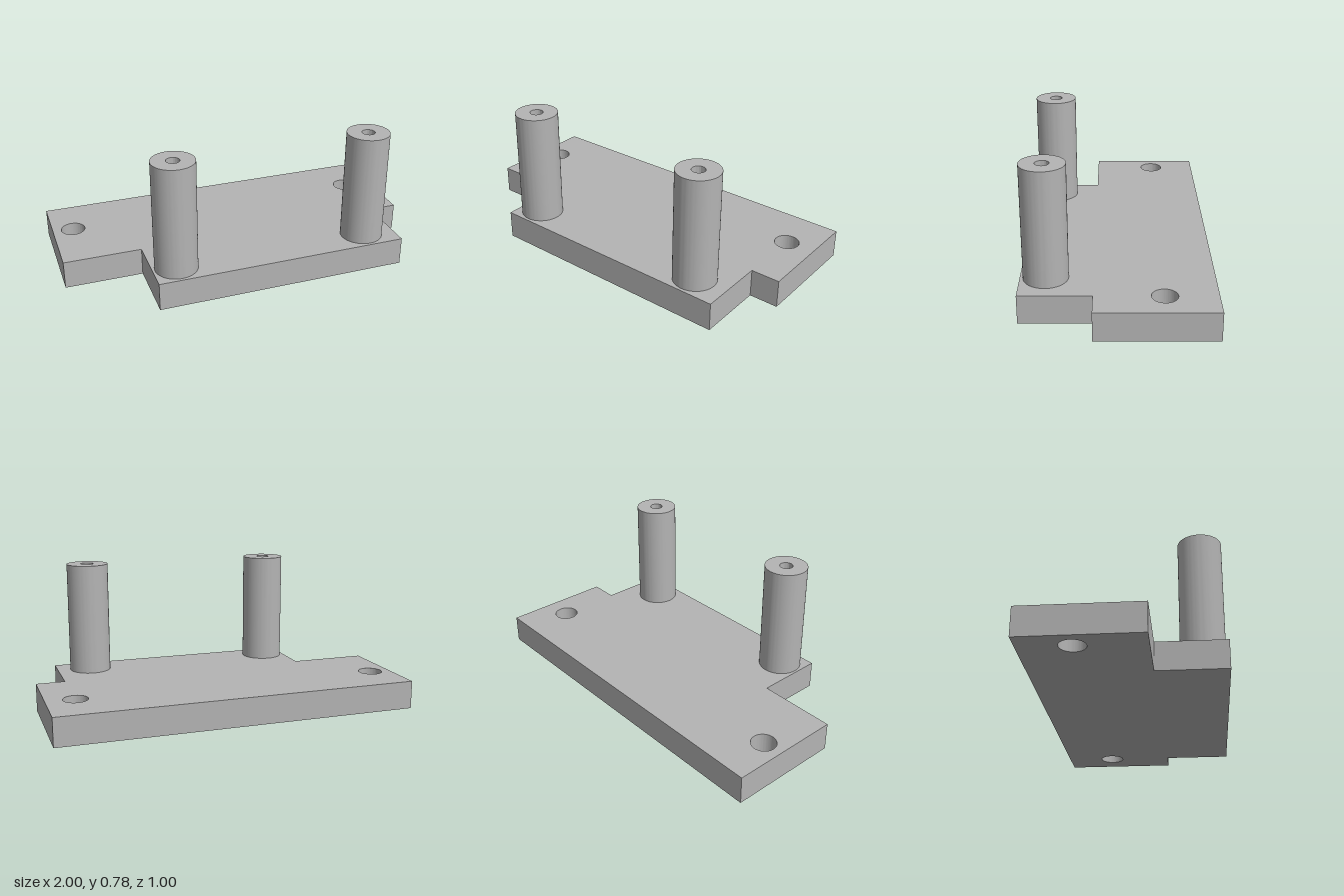
import * as THREE from 'three';
import { toCreasedNormals } from 'three/addons/utils/BufferGeometryUtils.js';

const PLATE_TOP = 0.157;
const POST_TOP = 0.78;
const POST_RADIUS = 0.117;
const BORE_RADIUS = 0.036;
const BORE_DEPTH = 0.4;

// Circular hole in a plan shape (shape y is model -z)
function circleHole(x, z, radius) {
  return new THREE.Path().absarc(x, -z, radius, 0, Math.PI * 2, true);
}

// Extrude a plan shape upward from y = 0, keeping round walls smooth
function extrudeUp(shape, height) {
  const geometry = new THREE.ExtrudeGeometry(shape, {
    depth: height, bevelEnabled: false, curveSegments: 48,
  });
  geometry.rotateX(-Math.PI / 2);
  return toCreasedNormals(geometry, Math.PI / 6);
}

export function createModel() {
  const model = new THREE.Group();
  model.name = 'mountingPlate';
  const grey = new THREE.MeshStandardMaterial({ color: 0xb4b4b4 });
  grey.name = 'grey';

  // Stepped base plate with two through holes
  const outline = [
    [-1, -0.5], [-1, 0.125], [-0.57, 0.125], [-0.57, 0.5],
    [0.84, 0.5], [0.84, 0.125], [1, 0.125], [1, -0.5],
  ];
  const plateShape = new THREE.Shape(outline.map(([x, z]) => new THREE.Vector2(x, -z)));
  for (const x of [-0.885, 0.84]) plateShape.holes.push(circleHole(x, -0.23, 0.067));
  const plate = new THREE.Mesh(extrudeUp(plateShape, PLATE_TOP), grey);
  plate.name = 'basePlate';
  model.add(plate);

  // Upright posts with a blind bore in the top
  const ring = new THREE.Shape().absarc(0, 0, POST_RADIUS, 0, Math.PI * 2);
  ring.holes.push(circleHole(0, 0, BORE_RADIUS));
  const postGeometry = extrudeUp(ring, POST_TOP - PLATE_TOP);
  const floorGeometry = new THREE.CircleGeometry(BORE_RADIUS, 48).rotateX(-Math.PI / 2);
  for (const [name, x] of [['rightPost', -0.44], ['leftPost', 0.65]]) {
    const post = new THREE.Group();
    post.name = name;
    const body = new THREE.Mesh(postGeometry, grey);
    body.name = 'postBody';
    const floor = new THREE.Mesh(floorGeometry, grey);
    floor.name = 'boreFloor';
    floor.position.y = POST_TOP - PLATE_TOP - BORE_DEPTH;
    post.add(body, floor);
    post.position.set(x, PLATE_TOP, 0.367);
    model.add(post);
  }

  return model;
}
